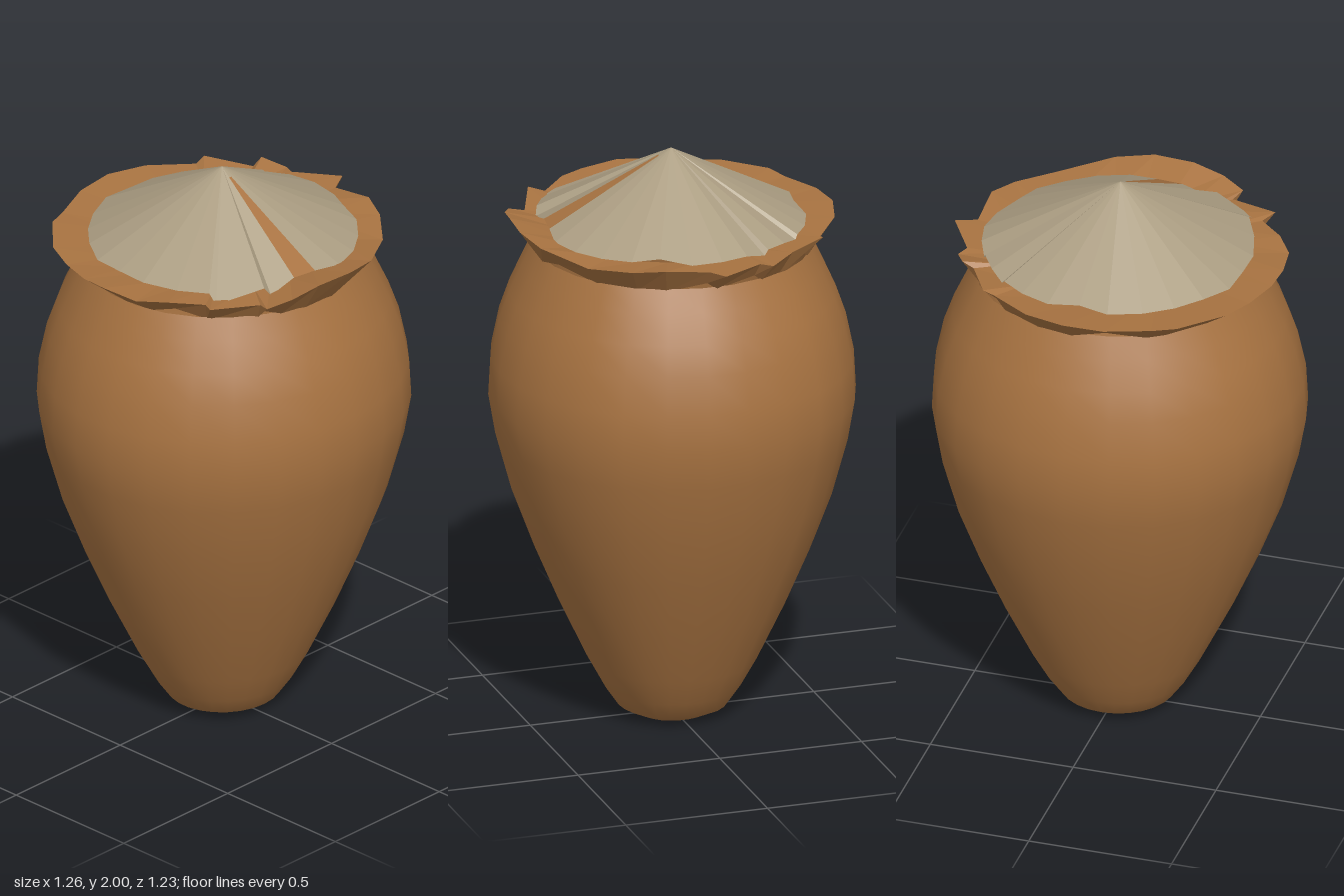
import * as THREE from 'three';

const clay = new THREE.MeshStandardMaterial({ color: 0xa87341, side: THREE.DoubleSide });
clay.name = 'clay';
const grain = new THREE.MeshStandardMaterial({ color: 0xab9d82, side: THREE.DoubleSide });
grain.name = 'grain';

// Flat-shaded geometry from a list of triangles
function facets(triangles) {
  const g = new THREE.BufferGeometry().setFromPoints(triangles.flat());
  g.computeVertexNormals();
  return g;
}

function part(name, geometry, material) {
  const mesh = new THREE.Mesh(geometry, material);
  mesh.name = name;
  return mesh;
}

// Smooth round body, narrow at the foot, with a slightly pointed +x side
function jarBody() {
  const profile = [[0, 0], [0.13, 0.005], [0.19, 0.035], [0.235, 0.1], [0.29, 0.2], [0.385, 0.4],
    [0.47, 0.6], [0.545, 0.8], [0.6, 1.0], [0.624, 1.14], [0.617, 1.27], [0.59, 1.4],
    [0.555, 1.5], [0.51, 1.6], [0.475, 1.675]].map(([r, y]) => new THREE.Vector2(r, y));
  const g = new THREE.LatheGeometry(profile, 26);
  const p = g.attributes.position;
  for (let i = 0; i < p.count; i++) {
    const x = p.getX(i), z = p.getZ(i);
    const a = Math.abs(Math.atan2(z, x));
    const flat = a > 0.08 && a < 0.5 ? 0.975 : 1;
    p.setXYZ(i, x * 1.027 * flat, p.getY(i), z * 0.985 * flat);
  }
  g.computeVertexNormals();
  // Rejoin the normals across the lathe seam
  const n = g.attributes.normal, rows = profile.length, last = p.count - rows;
  for (let i = 0; i < rows; i++) {
    const v = new THREE.Vector3().fromBufferAttribute(n, i)
      .add(new THREE.Vector3().fromBufferAttribute(n, last + i)).normalize();
    n.setXYZ(i, v.x, v.y, v.z);
    n.setXYZ(last + i, v.x, v.y, v.z);
  }
  return g;
}

// Ragged flared rim: outer edge as x, z, y
function raggedRim() {
  const edge = [[0.57, 0, 1.745], [0.5, 0.035, 1.74], [0.5, 0.19, 1.76], [0.45, 0.29, 1.75],
    [0.34, 0.41, 1.74], [0.17, 0.52, 1.765], [0.04, 0.55, 1.78], [-0.1, 0.54, 1.78],
    [-0.21, 0.52, 1.76], [-0.29, 0.48, 1.74], [-0.27, 0.43, 1.73], [-0.44, 0.36, 1.75],
    [-0.41, 0.31, 1.74], [-0.5, 0.22, 1.75], [-0.56, 0.13, 1.745], [-0.58, 0, 1.755],
    [-0.57, -0.1, 1.75], [-0.53, -0.22, 1.745], [-0.48, -0.33, 1.75], [-0.35, -0.46, 1.75],
    [-0.27, -0.49, 1.745], [-0.12, -0.55, 1.75], [0.02, -0.56, 1.755], [0.16, -0.52, 1.75],
    [0.3, -0.42, 1.74], [0.34, -0.42, 1.755], [0.42, -0.27, 1.74], [0.46, -0.27, 1.76],
    [0.5, -0.19, 1.735], [0.48, -0.15, 1.74]];
  const rings = edge.map(([x, z, y], i) => {
    const s = 1 / Math.hypot(x, z);
    const at = (r, h) => new THREE.Vector3(x * s * r, h, z * s * r);
    return [at(0.38, 1.735), new THREE.Vector3(x, y, z), at(0.47, i % 4 === 1 ? 1.69 : 1.665)];
  });
  const tris = [];
  rings.forEach((a, i) => {
    const b = rings[(i + 1) % rings.length];
    for (let k = 0; k < 2; k++) tris.push([a[k], b[k], b[k + 1]], [a[k], b[k + 1], a[k + 1]]);
  });
  return facets(tris.map(([a, b, c]) => [a, b, c]));
}

// Heaped cone of grain with a few creases and one bare clay streak
function heap(group) {
  // Base edge as angle in degrees, radius, height
  const edge = [[-3, 0.46, 1.755], [10, 0.455, 1.75], [24, 0.43, 1.765], [36, 0.45, 1.755],
    [50, 0.45, 1.75], [64, 0.455, 1.75], [78, 0.455, 1.752], [91, 0.43, 1.762],
    [103, 0.43, 1.765], [116, 0.46, 1.735], [119, 0.46, 1.765], [139, 0.5, 1.735],
    [142, 0.47, 1.76], [156, 0.46, 1.753], [172, 0.46, 1.752], [186, 0.455, 1.753],
    [200, 0.47, 1.75], [214, 0.46, 1.755], [228, 0.455, 1.752], [242, 0.455, 1.752],
    [257, 0.46, 1.755], [270, 0.43, 1.762], [284, 0.45, 1.752], [298, 0.45, 1.752],
    [310, 0.45, 1.755], [312, 0.45, 1.742], [322, 0.45, 1.755], [333, 0.45, 1.757],
    [335, 0.45, 1.74], [345, 0.455, 1.757]];
  const apex = new THREE.Vector3(-0.01, 2, 0);
  const pts = edge.map(([deg, r, y]) => {
    const a = THREE.MathUtils.degToRad(deg);
    return new THREE.Vector3(r * Math.cos(a), y, r * Math.sin(a));
  });
  const tris = pts.map((p, i) => [apex, pts[(i + 1) % pts.length], p]);
  const streak = 7;
  // The streak stops just short of the peak
  const [, b, a] = tris[streak];
  const a2 = apex.clone().lerp(a, 0.1), b2 = apex.clone().lerp(b, 0.1);
  group.add(part('grainHeap', facets([...tris.filter((t, i) => i !== streak), [apex, b2, a2]]), grain));
  group.add(part('bareStreak', facets([[a2, b2, b], [a2, b, a]]), clay));
}

export function createModel() {
  const group = new THREE.Group();
  group.name = 'grainJar';
  group.add(part('jarBody', jarBody(), clay));
  group.add(part('raggedRim', raggedRim(), clay));
  heap(group);
  return group;
}
